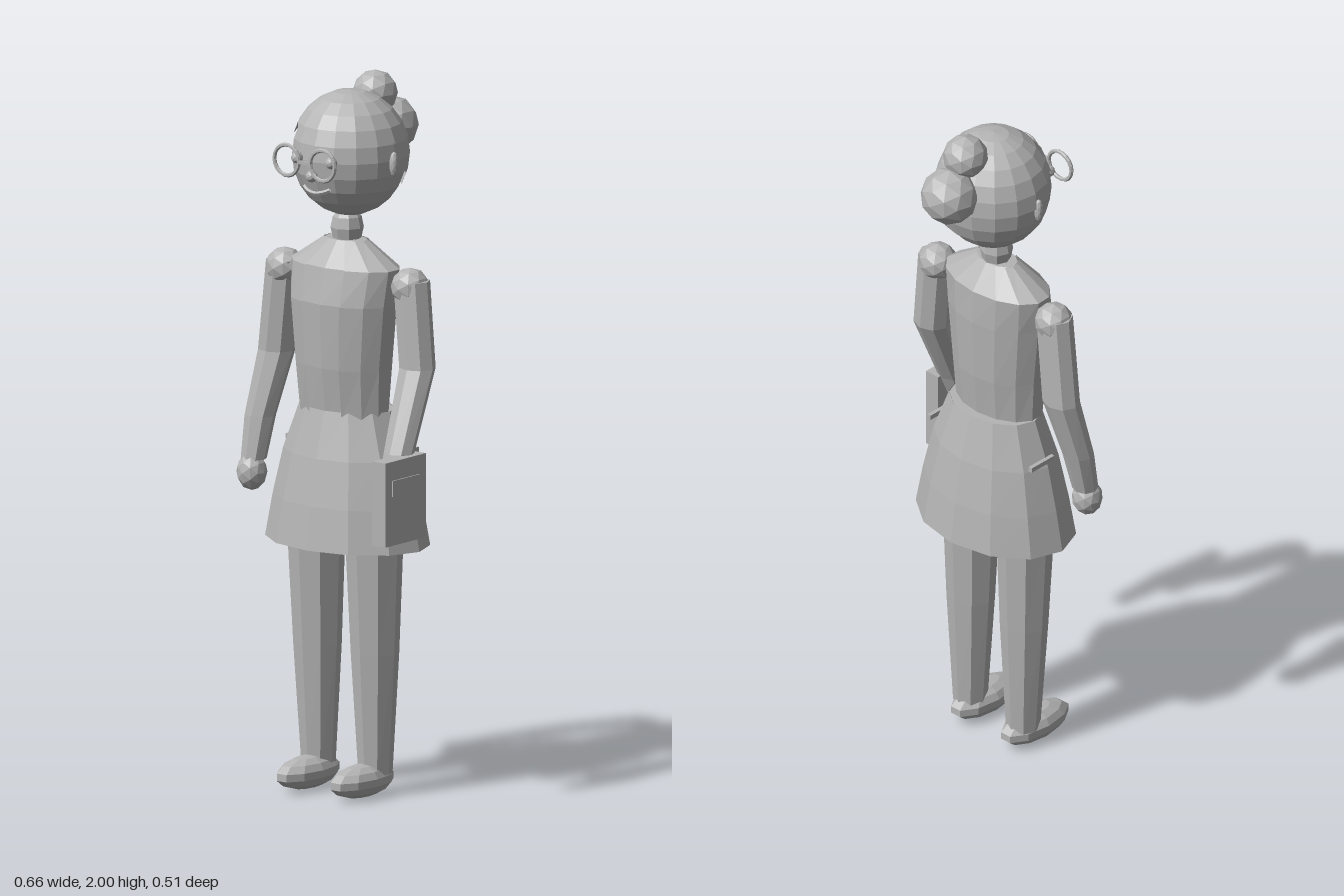
import * as THREE from 'three';

const grey = new THREE.MeshStandardMaterial({ color: 0xb4b4b4, flatShading: true, side: THREE.DoubleSide });
grey.name = 'plain grey';

// Loft through horizontal rings [y, rx, rz, cx, cz], listed bottom to top
function loft(rings, sides, { start = 0, arc = Math.PI * 2, caps = true } = {}) {
  const list = rings.map(r => r.slice());
  if (caps) {
    const end = r => [r[0], 0, 0, r[3], r[4]];
    list.unshift(end(rings[0]));
    list.push(end(rings[rings.length - 1]));
  }
  const pos = [], idx = [], n = sides + 1;
  for (const [y, rx, rz, cx = 0, cz = 0] of list) {
    for (let j = 0; j <= sides; j++) {
      const a = start + arc * j / sides;
      pos.push(cx + rx * Math.cos(a), y, cz + rz * Math.sin(a));
    }
  }
  for (let i = 0; i < list.length - 1; i++) {
    for (let j = 0; j < sides; j++) {
      const a = i * n + j, b = a + n;
      idx.push(a, b, a + 1, a + 1, b, b + 1);
    }
  }
  const g = new THREE.BufferGeometry();
  g.setAttribute('position', new THREE.Float32BufferAttribute(pos, 3));
  g.setIndex(idx);
  g.computeVertexNormals();
  return g;
}

export function createModel() {
  const model = new THREE.Group();

  const add = (name, geo, x = 0, y = 0, z = 0) => {
    const m = new THREE.Mesh(geo, grey);
    m.name = name;
    m.position.set(x, y, z);
    model.add(m);
    return m;
  };
  const ball = (name, x, y, z, rx, ry = rx, rz = rx, detail = 1) =>
    add(name, new THREE.IcosahedronGeometry(1, detail).scale(rx, ry, rz), x, y, z);

  // Head and neck
  const sphere = new THREE.SphereGeometry(1, 16, 12);
  add('head', sphere.clone().scale(0.16, 0.172, 0.16), 0, 1.785, 0);
  add('neck', new THREE.SphereGeometry(1, 8, 6).scale(0.046, 0.06, 0.046), 0, 1.58, 0.012);

  // Hair cap: sphere faces above a hairline that drops towards the back
  const cap = sphere.toNonIndexed().scale(0.166, 0.179, 0.166);
  const p = cap.attributes.position, kept = [];
  for (let i = 0; i < p.count; i += 3) {
    const y = (p.getY(i) + p.getY(i + 1) + p.getY(i + 2)) / 3;
    const z = (p.getZ(i) + p.getZ(i + 1) + p.getZ(i + 2)) / 3;
    const line = z > 0.03 ? 0.075 : Math.max(-0.09, 0.04 + z * 1.8);
    if (y < line) continue;
    for (let k = i; k < i + 3; k++) kept.push(p.getX(k), p.getY(k), p.getZ(k));
  }
  const hair = new THREE.BufferGeometry();
  hair.setAttribute('position', new THREE.Float32BufferAttribute(kept, 3));
  hair.computeVertexNormals();
  add('hairCap', hair, 0, 1.785, 0);
  ball('backBun', 0, 1.838, -0.174, 0.081);
  ball('topBun', 0, 1.937, -0.111, 0.063);

  // Face
  ball('nose', 0, 1.747, 0.168, 0.017);
  const smile = new THREE.QuadraticBezierCurve3(
    new THREE.Vector3(-0.045, 1.71, 0.143),
    new THREE.Vector3(0, 1.685, 0.166),
    new THREE.Vector3(0.045, 1.71, 0.143));
  add('mouth', new THREE.TubeGeometry(smile, 8, 0.006, 5));
  add('glassesBridge', new THREE.BoxGeometry(0.045, 0.009, 0.009), 0, 1.79, 0.199);

  // Torso under an open jacket
  const body = [
    [1.06, 0.142, 0.088, 0, 0.025],
    [1.2, 0.15, 0.105, 0, 0.027],
    [1.38, 0.168, 0.112, 0, 0.027],
    [1.48, 0.176, 0.1, 0, 0.018],
    [1.55, 0.07, 0.045, 0, 0.015]];
  add('torso', loft(body.map(([y, rx, rz, cx, cz]) => [y, rx * 0.95, rz * 0.93, cx, cz]), 12));
  const gap = 0.4;
  add('jacket', loft(body, 12, { start: Math.PI / 2 + gap, arc: Math.PI * 2 - 2 * gap, caps: false }));

  // Flared skirt, open at the hem
  add('skirt', loft([
    [0.7, 0.252, 0.18, 0, 0.01],
    [0.82, 0.229, 0.163, 0, 0.01],
    [0.95, 0.198, 0.138, 0, 0.01],
    [1.08, 0.148, 0.104, 0, 0.01]], 12, { caps: false }));
  add('waistTop', loft([[1.078, 0.147, 0.103, 0, 0.01]], 12));

  for (const s of [-1, 1]) {
    // Ears, eyes and lens rims
    ball('ear', s * 0.163, 1.776, 0.01, 0.013, 0.036, 0.014);
    ball('eye', s * 0.06, 1.79, 0.157, 0.017);
    add('glassesRim', new THREE.TorusGeometry(0.043, 0.006, 6, 18), s * 0.063, 1.79, 0.199);
    // Skirt pockets
    add('pocketFlap', new THREE.BoxGeometry(0.012, 0.014, 0.09), s * 0.192, 0.97, -0.01);
    // Legs and shoes
    add('leg', loft([
      [0.06, 0.047, 0.048, s * 0.1, 0.013],
      [0.4, 0.068, 0.066, s * 0.101, 0.016],
      [0.72, 0.081, 0.08, s * 0.102, 0.02],
      [0.95, 0.075, 0.075, s * 0.09, 0.02]], 8));
    add('shoe', new THREE.SphereGeometry(1, 10, 7).scale(0.057, 0.046, 0.125), s * 0.095, 0.047, 0.065);
    ball('shoulder', s * 0.22, 1.44, 0.01, 0.054);
  }

  // Arms: the right one hangs, the left one reaches forward to the book
  add('rightArm', loft([
    [0.9, 0.036, 0.036, -0.286, 0.065],
    [1.02, 0.045, 0.042, -0.281, 0.042],
    [1.2, 0.055, 0.048, -0.257, 0],
    [1.46, 0.054, 0.047, -0.222, 0.01]], 8));
  add('leftArm', loft([
    [0.9, 0.034, 0.036, 0.264, 0.155],
    [1.0, 0.043, 0.042, 0.269, 0.12],
    [1.22, 0.053, 0.047, 0.255, 0.022],
    [1.46, 0.054, 0.047, 0.225, 0.01]], 8));
  ball('rightHand', -0.286, 0.865, 0.073, 0.043, 0.053, 0.043);
  ball('leftHand', 0.262, 0.882, 0.16, 0.036, 0.05, 0.038);

  // Book with a label plate on its outer cover
  add('book', new THREE.BoxGeometry(0.046, 0.236, 0.178), 0.304, 0.881, 0.164);
  add('bookLabel', new THREE.BoxGeometry(0.005, 0.045, 0.12), 0.328, 0.923, 0.163);

  return model;
}
